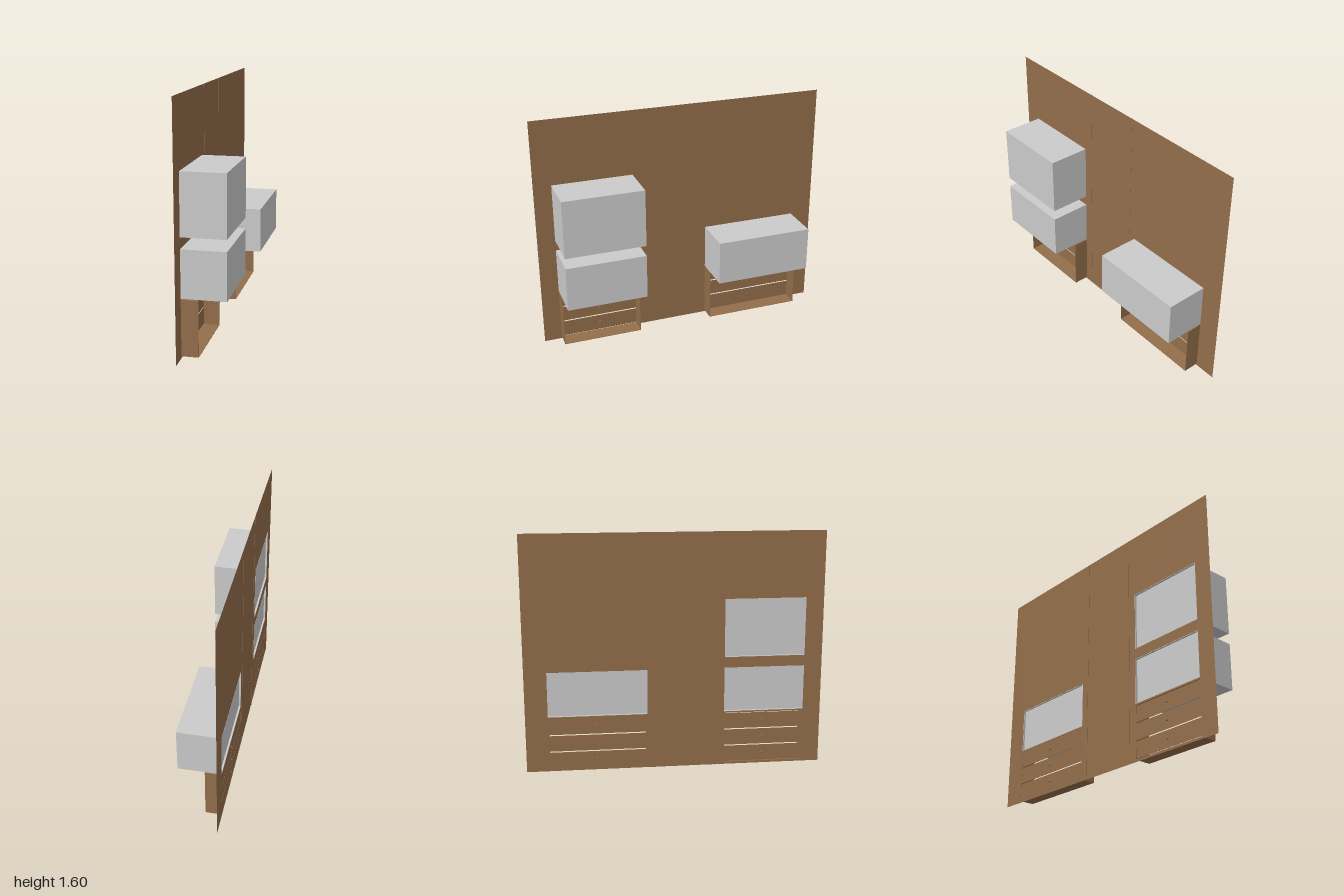
import * as THREE from 'three';

const WALL_X = -0.14;
const brown = new THREE.MeshStandardMaterial({ color: 0x936e4a, side: THREE.DoubleSide });
const grey = new THREE.MeshStandardMaterial({ color: 0xcccccc });

// Rectangle in the wall plane: shape x runs along z, shape y is height
function rect(Type, { z0, z1, y0, y1 }, inset = 0) {
  const r = new Type();
  r.moveTo(z0 + inset, y0 + inset);
  r.lineTo(z1 - inset, y0 + inset);
  r.lineTo(z1 - inset, y1 - inset);
  r.lineTo(z0 + inset, y1 - inset);
  r.closePath();
  return r;
}

function add(parent, name, geometry, material, x = 0, y = 0, z = 0) {
  const mesh = new THREE.Mesh(geometry, material);
  mesh.name = name;
  mesh.position.set(x, y, z);
  parent.add(mesh);
  return mesh;
}

// Block filling an area of the wall between two depths
function block(parent, name, a, x0, x1, material) {
  const g = new THREE.BoxGeometry(x1 - x0, a.y1 - a.y0, a.z1 - a.z0);
  return add(parent, name, g, material, (x0 + x1) / 2, (a.y0 + a.y1) / 2, (a.z0 + a.z1) / 2);
}

// Thin four-sided surround, open at both ends
function surround(parent, name, a, x0, x1, material) {
  const shape = rect(THREE.Shape, a);
  shape.holes.push(rect(THREE.Path, a, 0.003));
  const g = new THREE.ExtrudeGeometry(shape, { depth: x1 - x0, bevelEnabled: false });
  g.rotateY(-Math.PI / 2);
  return add(parent, name, g, material, x1);
}

export function createModel() {
  const model = new THREE.Group();
  model.name = 'storageWall';

  const cabinets = [
    { z0: 0.335, z1: 0.88, y0: 0.76, y1: 1.155 },
    { z0: 0.335, z1: 0.88, y0: 0.38, y1: 0.687 },
    { z0: -0.85, z1: -0.185, y0: 0.38, y1: 0.687 },
  ];
  const drawerCases = [
    { z0: 0.335, z1: 0.88, y0: 0.013, y1: 0.372, gap: 0.004 },
    { z0: -0.85, z1: -0.185, y0: 0.013, y1: 0.372, gap: 0 },
  ];

  // Wall sheet with an opening for every cabinet and drawer case
  const wallShape = rect(THREE.Shape, { z0: -1, z1: 1, y0: 0, y1: 1.6 });
  for (const a of [...cabinets, ...drawerCases]) wallShape.holes.push(rect(THREE.Path, a));
  const wallGeometry = new THREE.ShapeGeometry(wallShape);
  wallGeometry.rotateY(-Math.PI / 2);
  add(model, 'wallPanel', wallGeometry, brown, WALL_X);

  // Narrow seams between the three wall panels
  for (const z of [0.275, -0.135]) {
    block(model, 'panelSeam', { z0: z - 0.004, z1: z + 0.004, y0: 0, y1: 1.6 },
      WALL_X - 0.002, WALL_X + 0.001, brown);
  }

  // Deep closed cabinets with a slightly recessed face
  for (const a of cabinets) {
    const cabinet = new THREE.Group();
    cabinet.name = 'cabinet';
    surround(cabinet, 'cabinetRim', a, WALL_X - 0.001, WALL_X + 0.012, grey);
    block(cabinet, 'cabinetBody', a, WALL_X + 0.012, 0.144, grey);
    model.add(cabinet);
  }

  // Shallow drawer cases, open behind, with three fronts and knobs
  const knobGeometry = new THREE.SphereGeometry(0.008, 16, 12);
  for (const a of drawerCases) {
    const drawers = new THREE.Group();
    drawers.name = 'drawerUnit';
    surround(drawers, 'drawerCase', a, WALL_X, -0.032, brown);
    const edges = [a.y0 + 0.003, 0.135, 0.252, a.y1 - 0.003];
    const zMid = (a.z0 + a.z1) / 2;
    for (let i = 0; i < 3; i++) {
      const front = {
        z0: a.z0 + 0.003, z1: a.z1 - 0.003,
        y0: edges[i] + (i === 0 ? a.gap : 0.004),
        y1: edges[i + 1] - (i === 2 ? a.gap : 0.004),
      };
      block(drawers, 'drawerFront', front, WALL_X + 0.001, WALL_X + 0.003, brown);
      add(drawers, 'drawerKnob', knobGeometry, brown, WALL_X + 0.001, 0.08 + i * 0.116, zMid - 0.005);
    }
    model.add(drawers);
  }
  return model;
}
